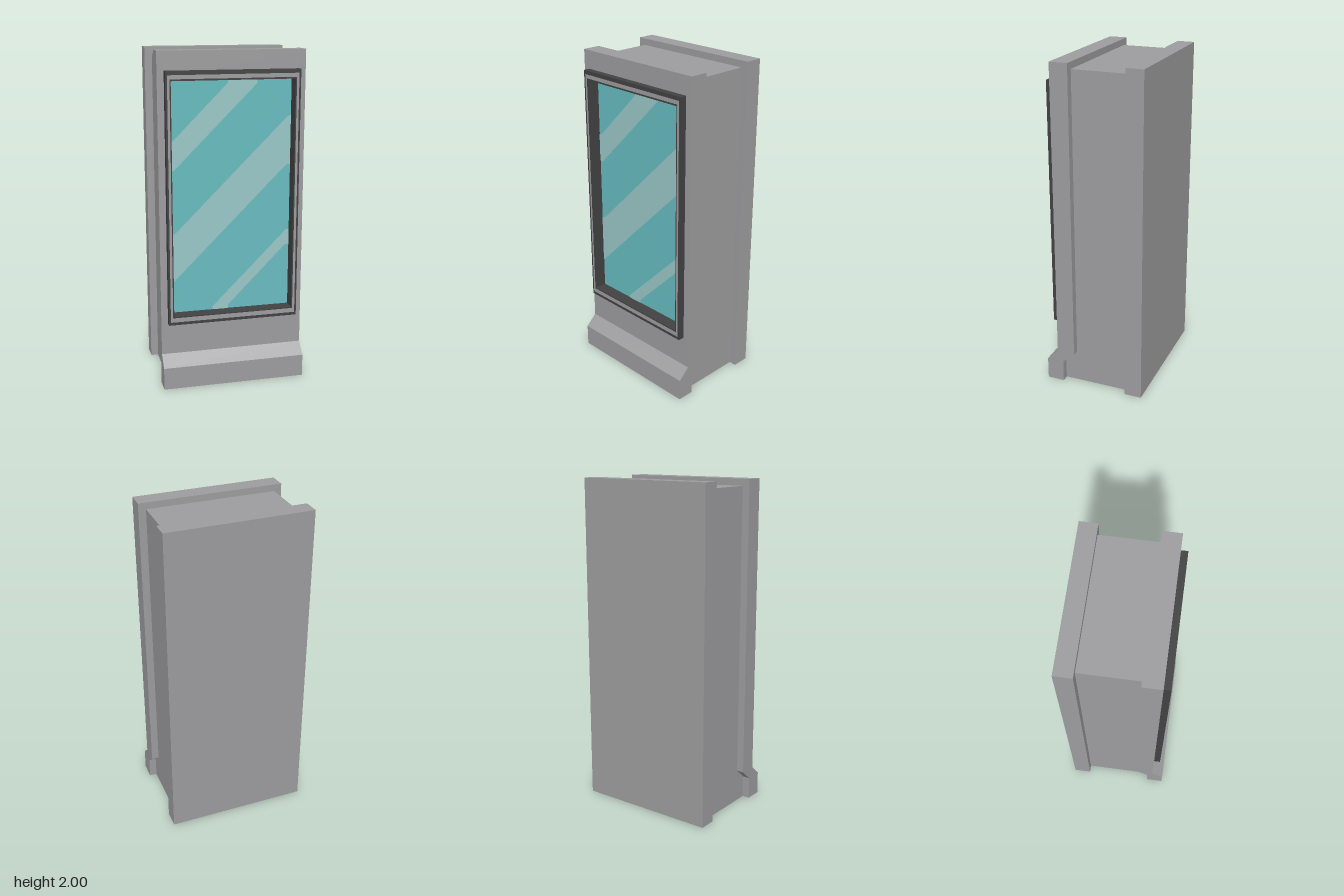
import * as THREE from 'three';

const mat = (name, color, extra = {}) => {
  const m = new THREE.MeshStandardMaterial({ color, ...extra });
  m.name = name;
  return m;
};

// Rectangle outline from half width and bottom/top heights
const rect = (w, y0, y1, Type = THREE.Shape) =>
  new Type([[-w, y0], [w, y0], [w, y1], [-w, y1]].map(([x, y]) => new THREE.Vector2(x, y)));

const ring = (outer, inner) => {
  const s = rect(...outer);
  s.holes.push(rect(...inner, THREE.Path));
  return s;
};

export function createModel() {
  const group = new THREE.Group();
  const bodyGrey = mat('bodyGrey', 0x9d9d9f, { side: THREE.DoubleSide });
  const darkFrame = mat('darkFrame', 0x424242);
  const glassTeal = mat('glassTeal', 0x68bcc0, { side: THREE.DoubleSide });
  const shine = mat('shine', 0x9ac8c8, { side: THREE.DoubleSide });

  const add = (name, geometry, material, z = 0) => {
    const mesh = new THREE.Mesh(geometry, material);
    mesh.name = name;
    mesh.position.z = z;
    group.add(mesh);
    return mesh;
  };
  const extrude = (shape, depth) => new THREE.ExtrudeGeometry(shape, { depth, bevelEnabled: false });

  // Hollow, open-bottomed shell: stations of [half width, top, z, z at the foot]
  const stations = [
    [0.435, 2, -0.31, -0.31], [0.435, 2, -0.205, -0.205],
    [0.39, 1.96, -0.205, -0.205], [0.39, 1.96, 0.13, 0.205],
    [0.435, 2, 0.13, 0.205], [0.435, 2, 0.24, 0.31],
  ];
  const rings = stations.map(([w, top, z, foot]) => [
    [-w, 0, foot], [-w, 0.135, foot], [-w, 0.2, z], [-w, top, z],
    [w, top, z], [w, 0.2, z], [w, 0.135, foot], [w, 0, foot],
  ]);
  const pos = [];
  const quad = (a, b, c, d) => pos.push(...a, ...b, ...c, ...a, ...c, ...d);
  for (let i = 0; i < rings.length - 1; i++) {
    const r = rings[i], n = rings[i + 1];
    for (let j = 0; j < 7; j++) quad(r[j], n[j], n[j + 1], r[j + 1]);
  }
  // Back wall, kick plate and its sloped ledge
  const back = rings[0], front = rings[rings.length - 1];
  quad(back[0], back[3], back[4], back[7]);
  quad(front[0], front[7], front[6], front[1]);
  quad(front[1], front[6], front[5], front[2]);
  const shell = new THREE.BufferGeometry();
  shell.setAttribute('position', new THREE.Float32BufferAttribute(pos, 3));
  shell.computeVertexNormals();
  add('bodyShell', shell, bodyGrey);

  // Front panel with the window opening
  add('frontPanel', new THREE.ShapeGeometry(ring([0.435, 0.2, 2], [0.372, 0.437, 1.845])), bodyGrey, 0.24);

  // Window frame, the sleeve behind it and the inlaid trim
  const opening = [0.363, 0.447, 1.835];
  add('windowFrame', extrude(ring([0.395, 0.395, 1.89], opening), 0.04), darkFrame, 0.24);
  add('windowSleeve', extrude(ring([0.372, 0.437, 1.845], opening), 0.04), darkFrame, 0.2);
  add('frameTrim', new THREE.ShapeGeometry(ring([0.384, 0.413, 1.868], [0.37, 0.455 - 0.015, 1.845])), bodyGrey, 0.281);

  // Glass with diagonal reflections
  add('glass', new THREE.ShapeGeometry(rect(...opening)), glassTeal, 0.204);
  const streaks = [
    [[-0.362, 1.315], [-0.34, 1.315], [0.157, 1.81], [0.157, 1.835],
      [-0.018, 1.835], [-0.018, 1.815], [-0.345, 1.487], [-0.362, 1.487]],
    [[-0.362, 0.635], [-0.355, 0.635], [0.34, 1.325], [0.362, 1.325],
      [0.362, 1.62], [0.34, 1.61], [-0.34, 0.935], [-0.362, 0.935]],
    [[-0.115, 0.447], [-0.018, 0.447], [-0.018, 0.468], [0.34, 0.83],
      [0.362, 0.83], [0.362, 0.925], [0.345, 0.925], [-0.115, 0.465]],
  ];
  streaks.forEach((pts, i) => add(`glassStreak${i + 1}`,
    new THREE.ShapeGeometry(new THREE.Shape(pts.map(([x, y]) => new THREE.Vector2(x, y)))), shine, 0.207));

  return group;
}
